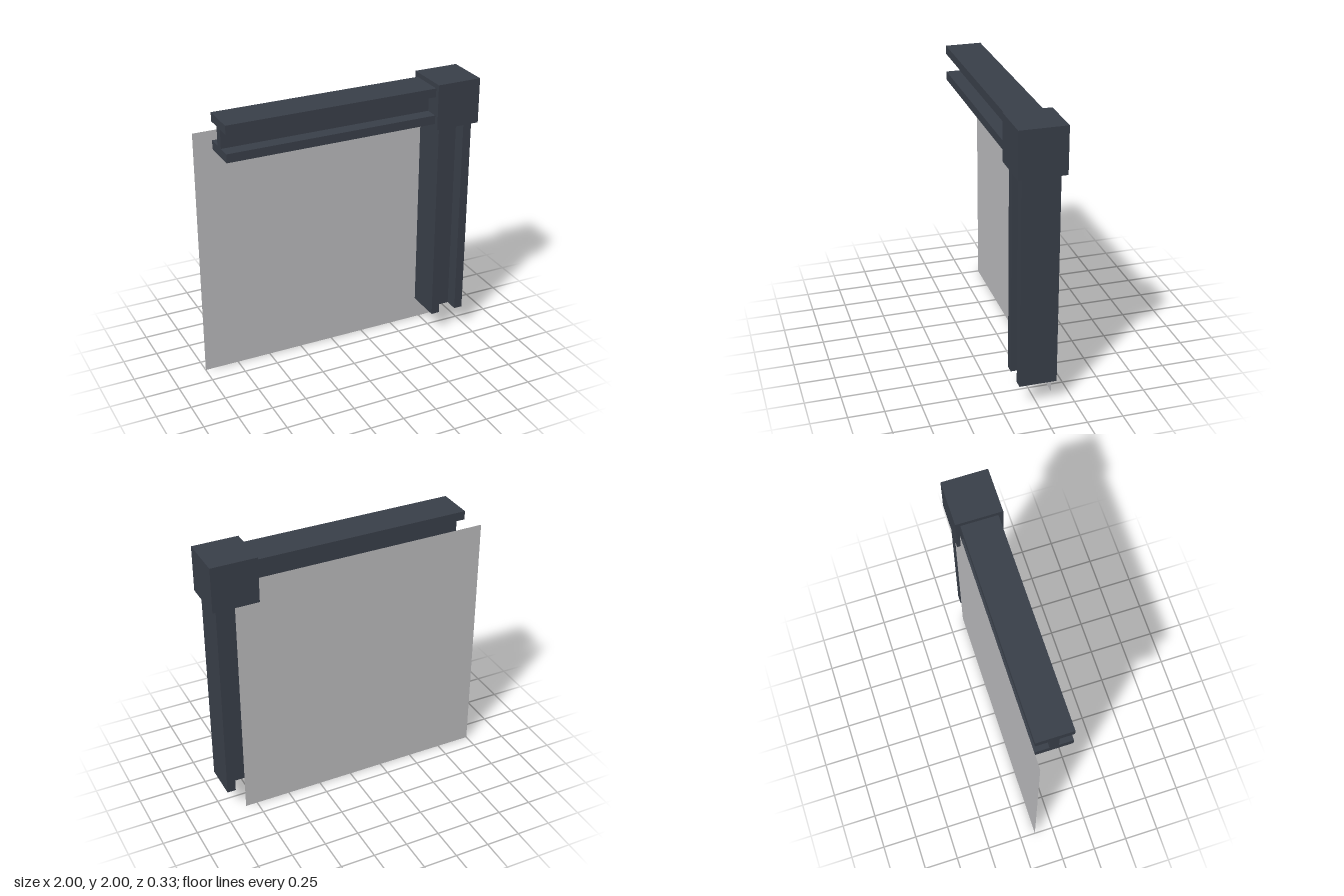
import * as THREE from 'three';

export function createModel() {
  const model = new THREE.Group();
  model.name = 'framedPanel';

  const frameMat = new THREE.MeshStandardMaterial({ color: 0x383e48 });
  frameMat.name = 'dark slate';
  const panelMat = new THREE.MeshStandardMaterial({ color: 0xb8b8ba, side: THREE.DoubleSide });
  panelMat.name = 'light grey';

  const C = 0.8367;          // frame axis, shared by the post and the beam
  const HALF = 0.13;         // half the profile width
  const FLANGE = 0.0625;     // flange thickness
  const CUBE = 0.3267;       // corner block size

  // H-shaped profile, flanges facing left and right
  const w = HALF, f = HALF - FLANGE, t = 0.031;
  const profile = new THREE.Shape([
    [-w, -w], [-f, -w], [-f, -t], [f, -t], [f, -w], [w, -w],
    [w, w], [f, w], [f, t], [-f, t], [-f, w], [-w, w],
  ].map(([x, y]) => new THREE.Vector2(x, y)));

  const rail = (name, length) => {
    const geo = new THREE.ExtrudeGeometry(profile, { depth: length, bevelEnabled: false });
    geo.rotateX(-Math.PI / 2); // stand it upright
    const mesh = new THREE.Mesh(geo, frameMat);
    mesh.name = name;
    model.add(mesh);
    return mesh;
  };

  // Upright post
  const post = rail('post', 2 - CUBE - 0.167);
  post.position.set(C, 0.167, 0);

  // Horizontal beam, flanges above and below
  const beam = rail('beam', 1.54);
  beam.rotation.z = Math.PI / 2;
  beam.position.set(1 - CUBE, C + 1, 0);

  // Corner block joining them
  const block = new THREE.Mesh(new THREE.BoxGeometry(CUBE, CUBE, CUBE), frameMat);
  block.name = 'cornerBlock';
  block.position.set(C, C + 1, 0);
  model.add(block);

  // Thin back panel, its corner at the block's centre
  const size = 1 + C;
  const panel = new THREE.Mesh(new THREE.PlaneGeometry(size, size), panelMat);
  panel.name = 'backPanel';
  panel.position.set(-1 + size / 2, size / 2, -0.138);
  model.add(panel);

  return model;
}
